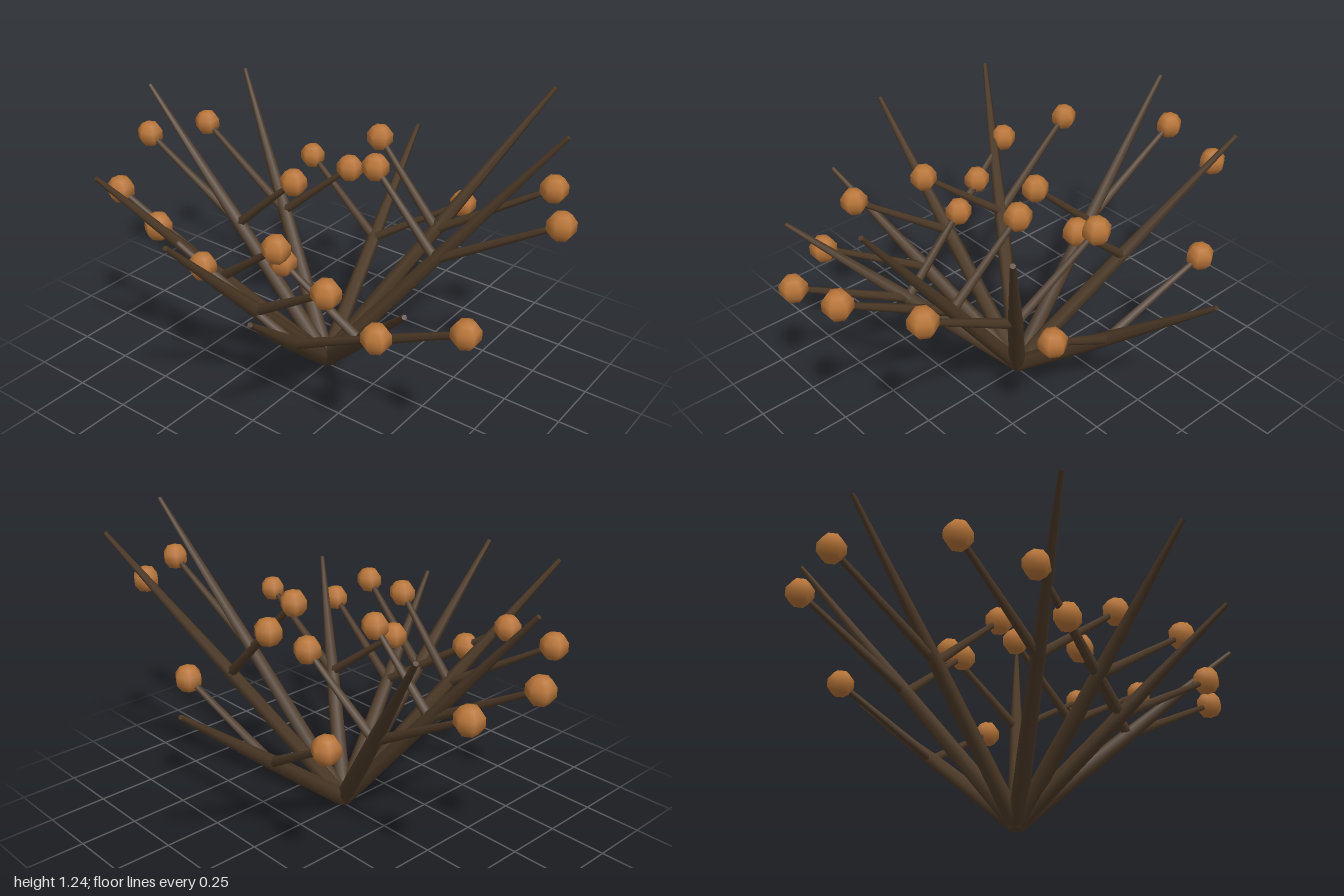
import * as THREE from 'three';

export function createModel() {
  const bark = new THREE.MeshStandardMaterial({ color: 0x4d3a27 });
  bark.name = 'dark bark';
  const copper = new THREE.MeshStandardMaterial({ color: 0xb87538 });
  copper.name = 'copper';

  const up = new THREE.Vector3(0, 1, 0);
  const root = new THREE.Vector3(0, 0.027, 0);

  // tapered smooth stick between two points
  function stick(name, from, to, r0, r1) {
    const dir = to.clone().sub(from);
    const mesh = new THREE.Mesh(new THREE.CylinderGeometry(r1, r0, dir.length(), 6), bark);
    mesh.name = name;
    mesh.position.copy(from).addScaledVector(dir, 0.5);
    mesh.quaternion.setFromUnitVectors(up, dir.normalize());
    return mesh;
  }

  // six-sided bead with a corner towards the front
  const beadGeometry = new THREE.SphereGeometry(0.059, 6, 5).rotateY(Math.PI / 2);

  // tips of the main branches
  const tips = [
    [-0.15, 0.79, -0.91], [0.63, 1.23, -0.685], [0.895, 1.235, -0.25],
    [0.74, 0.825, 0.55], [0.322, 0.785, 0.85], [0.007, 1.0, 0.91],
    [-0.485, 1.06, 0.765], [-0.905, 1.115, 0.07], [-0.805, 1.06, -0.435],
  ];

  const model = new THREE.Group();
  model.name = 'beadedBranches';
  for (const t of tips) {
    const tip = new THREE.Vector3(...t);
    const fork = root.clone().lerp(tip, 0.5);
    const branch = new THREE.Group();
    branch.name = 'branch';
    branch.add(stick('lowerStem', root, fork, 0.037, 0.03));
    branch.add(stick('upperStem', fork, tip, 0.03, 0.01));

    // a pair of side twigs from the fork, each ending in a bead
    for (const side of [-1, 1]) {
      const end = root.clone().lerp(tip, 0.605).add(new THREE.Vector3(side * 0.41, 0.178, 0));
      branch.add(stick('twig', fork, end, 0.022, 0.012));
      const bead = new THREE.Mesh(beadGeometry, copper);
      bead.name = 'bead';
      bead.position.copy(end);
      branch.add(bead);
    }
    model.add(branch);
  }
  return model;
}
